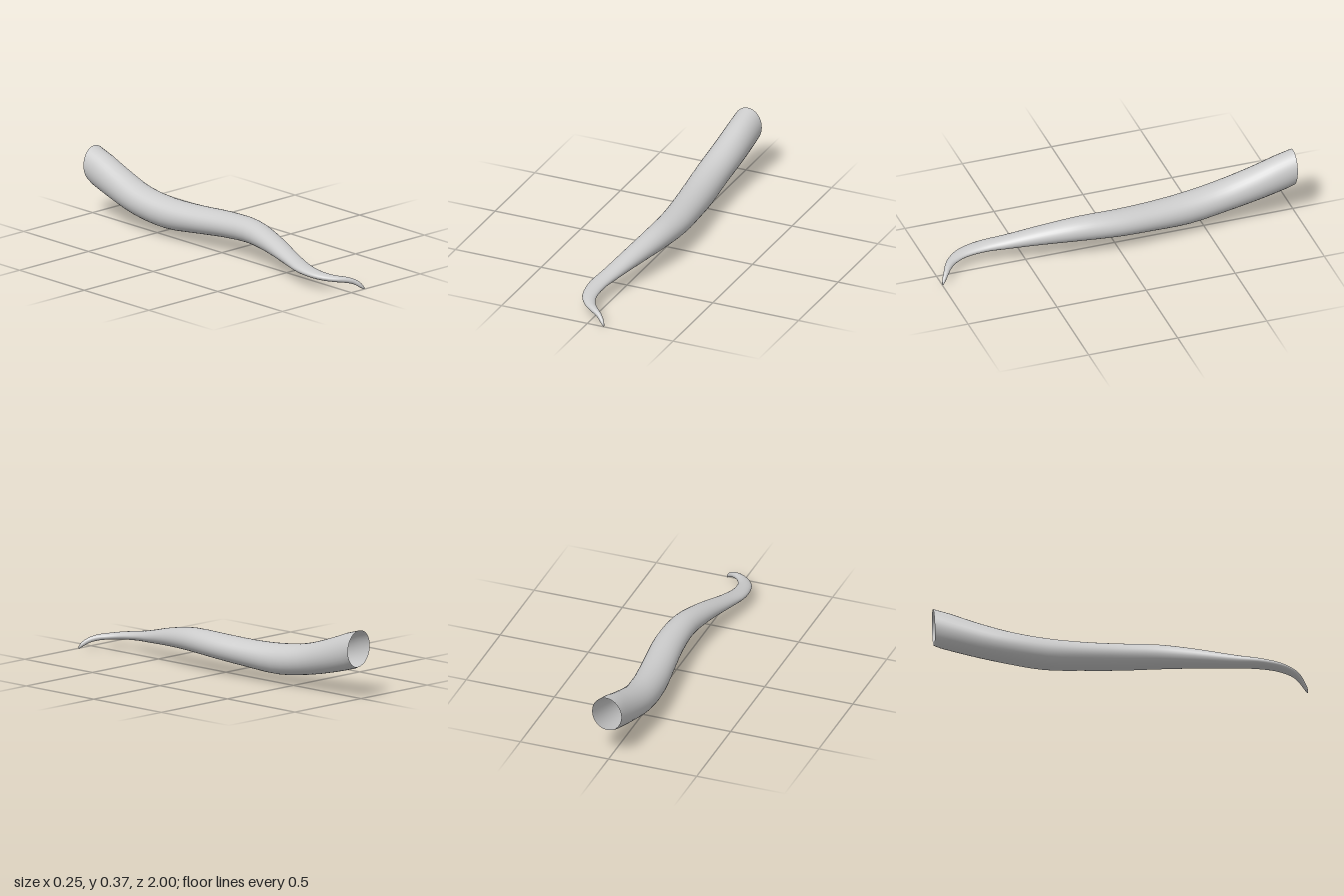
import * as THREE from 'three';

// Stations from the open root to the tip: x, y, z of the centre, then half width and half height
const STATIONS = [
  [0.012, 0.275, -0.995, 0.083, 0.1],
  [0.0, 0.212, -0.8, 0.088, 0.091],
  [-0.011, 0.16, -0.6, 0.09, 0.084],
  [0.0, 0.135, -0.4, 0.09, 0.083],
  [0.022, 0.14, -0.2, 0.087, 0.074],
  [0.042, 0.152, 0, 0.083, 0.069],
  [0.037, 0.158, 0.2, 0.073, 0.064],
  [0.0, 0.138, 0.4, 0.061, 0.05],
  [-0.049, 0.105, 0.6, 0.05, 0.033],
  [-0.074, 0.088, 0.72, 0.047, 0.025],
  [-0.066, 0.075, 0.83, 0.039, 0.02],
  [-0.028, 0.066, 0.9, 0.028, 0.017],
  [0.012, 0.06, 0.937, 0.02, 0.016],
  [0.052, 0.047, 0.964, 0.014, 0.014],
  [0.08, 0.025, 0.986, 0.01, 0.011],
  [0.094, 0.008, 0.997, 0.004, 0.005],
];

// Sweeps an elliptical ring along the centre line and closes the tip
function sweepTentacle(stations, rings, sides) {
  const path = new THREE.CatmullRomCurve3(stations.map(s => new THREE.Vector3(s[0], s[1], s[2])));
  const size = new THREE.CatmullRomCurve3(stations.map(s => new THREE.Vector3(s[3], s[4], 0)), false, 'catmullrom');
  const worldUp = new THREE.Vector3(0, 1, 0);
  const positions = [], index = [];

  for (let i = 0; i <= rings; i++) {
    const t = i / rings;
    const centre = path.getPoint(t), r = size.getPoint(t);
    // the root is cut almost upright
    const dir = i === 0 ? new THREE.Vector3(0, 0.05, 1).normalize() : path.getTangent(t);
    const side = new THREE.Vector3().crossVectors(worldUp, dir).normalize();
    const up = new THREE.Vector3().crossVectors(dir, side);
    for (let j = 0; j < sides; j++) {
      const a = (j / sides) * Math.PI * 2;
      const p = centre.clone()
        .addScaledVector(side, Math.cos(a) * r.x)
        .addScaledVector(up, Math.sin(a) * r.y);
      positions.push(p.x, p.y, p.z);
      if (i < rings) {
        const k = (j + 1) % sides;
        const b = i * sides, c = b + sides;
        index.push(b + j, b + k, c + j, b + k, c + k, c + j);
      }
    }
  }

  // Tip point
  const end = path.getPoint(1).addScaledVector(path.getTangent(1), 0.004);
  positions.push(end.x, end.y, end.z);
  const last = rings * sides;
  for (let j = 0; j < sides; j++) index.push(last + j, last + (j + 1) % sides, last + sides);

  const geometry = new THREE.BufferGeometry();
  geometry.setAttribute('position', new THREE.Float32BufferAttribute(positions, 3));
  geometry.setIndex(index);
  geometry.computeVertexNormals();
  return geometry;
}

export function createModel() {
  const group = new THREE.Group();
  group.name = 'tentacle';
  // The root is open, so the inside shows as well
  const material = new THREE.MeshStandardMaterial({ color: 0xcccccc, side: THREE.DoubleSide });
  const body = new THREE.Mesh(sweepTentacle(STATIONS, 45, 32), material);
  body.name = 'tentacleBody';
  group.add(body);
  return group;
}
